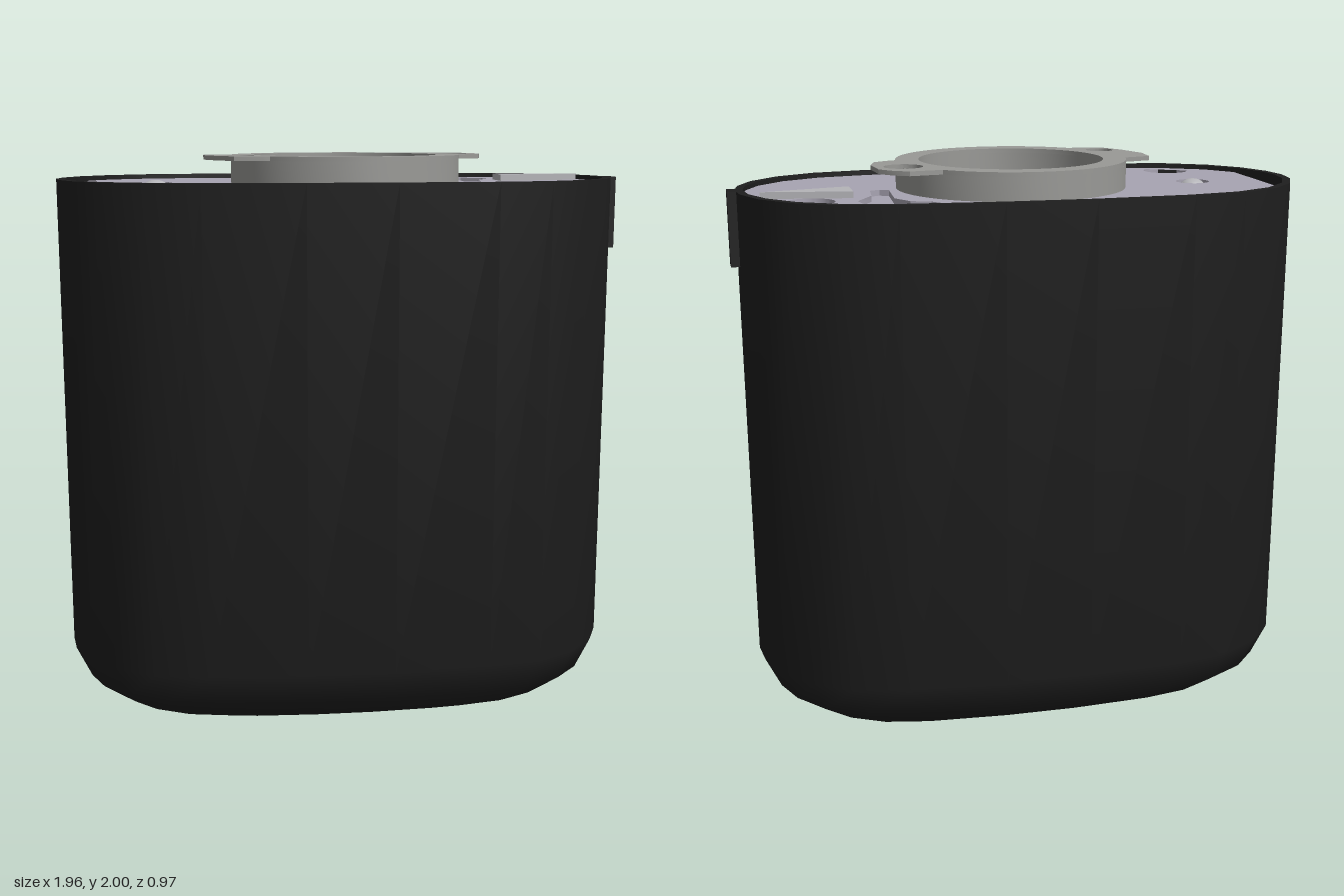
import * as THREE from 'three';
import { toCreasedNormals } from 'three/addons/utils/BufferGeometryUtils.js';

const mat = (color) => new THREE.MeshStandardMaterial({ color });
const black = mat(0x1e1e1e), lilac = mat(0xa8a4b2), grey = mat(0x999996), gold = mat(0x86660c), steel = mat(0xb4b4b8);

const CX = -0.013; // centre line of the oval housing
const FLOOR = 1.905; // level of the cover plate

// half of the oval (z >= 0) relative to CX, mirrored into a closed outline seen from above
const half = [[0.97, 0], [0.955, 0.11], [0.905, 0.23], [0.81, 0.34], [0.67, 0.42], [0.485, 0.46], [0.15, 0.483]];
const quarter = half.map(([x, z]) => [x, -z]);
const back = [...quarter, ...quarter.slice().reverse().map(([x, z]) => [-x, z])];
const outline = [...back, ...back.slice(1, -1).reverse().map(([x, z]) => [x, -z])];

function loft(rows) {
  const pos = [], index = [], n = outline.length;
  rows.forEach(([y, sx, sz], r) => outline.forEach(([x, z], i) => {
    pos.push(CX + x * sx, y, z * sz);
    if (r === rows.length - 1) return;
    const a = r * n + i, b = r * n + (i + 1) % n;
    index.push(a, b, b + n, a, b + n, a + n);
  }));
  const g = new THREE.BufferGeometry();
  g.setAttribute('position', new THREE.Float32BufferAttribute(pos, 3));
  g.setIndex(index);
  return toCreasedNormals(g, 0.7);
}

// shape in plan; input points are [x, z]
const plan = (pts) => new THREE.Shape(pts.map(([x, z]) => new THREE.Vector2(x, -z)));
const disc = (x, z, r) => new THREE.Path().absarc(x, -z, r, 0, Math.PI * 2, true);

function slab(shape, y0, y1) {
  const g = new THREE.ExtrudeGeometry(shape, { depth: y1 - y0, bevelEnabled: false, curveSegments: 32 });
  g.rotateX(-Math.PI / 2).translate(0, y0, 0);
  return toCreasedNormals(g, 0.5);
}

export function createModel() {
  const model = new THREE.Group();
  const add = (name, geometry, material, x = 0, y = 0, z = 0) => {
    const m = new THREE.Mesh(geometry, material);
    m.name = name;
    m.position.set(x, y, z);
    model.add(m);
    return m;
  };

  // rounded housing with a thin rim and an open top
  add('housing', loft([
    [0, 0, 0], [0.002, 0.33, 0.33], [0.018, 0.65, 0.5], [0.07, 0.83, 0.74], [0.15, 0.945, 0.93],
    [0.26, 1, 1], [1.92, 1, 1], [1.92, 0.972, 0.945], [1.8, 0.972, 0.945], [1.8, 0, 0],
  ]), black);
  add('sideTab', new THREE.BoxGeometry(0.05, 0.25, 0.08), black, 0.957, 1.795, 0);

  // cover plate: flat left end leaves a slot beside the rim
  const plateEdge = outline.map(([x, z]) => [Math.max(CX + x * 0.973, -0.885), z * 0.946]);
  add('plateBase', slab(plan(plateEdge), 1.8, FLOOR - 0.02), lilac);
  const top = plan(plateEdge);
  const hook = [[0.28, -0.39], [0.345, -0.30], [0.41, -0.275], [0.45, -0.2], [0.44, 0], [0.47, 0.02],
    [0.505, 0], [0.515, -0.12], [0.575, -0.24], [0.565, -0.30], [0.50, -0.36]];
  top.holes.push(disc(0.725, -0.22, 0.08), disc(-0.65, 0.32, 0.08), disc(-0.645, 0, 0.058), plan(hook));
  add('coverPlate', slab(top, FLOOR - 0.02, FLOOR), lilac);
  add('arrowMark', slab(plan([[0.58, -0.165], [0.58, -0.035], [0.88, -0.12]]), FLOOR, 1.927), steel);

  // locking ring with two lugs along its top edge
  const [rx, rz, ro, ri] = [0.013, 0.016, 0.397, 0.318];
  const wall = new THREE.Shape().absarc(rx, -rz, ro, 0, Math.PI * 2);
  wall.holes.push(disc(rx, rz, ri));
  add('ringWall', slab(wall, FLOOR - 0.01, 1.985), grey);
  const flange = new THREE.Shape().absarc(rx, -rz, ro, 0.766, 2.977);
  [[-0.475, 0.02], [-0.48, -0.08], [-0.44, -0.2], [-0.385, -0.29], [-0.29, -0.30]].forEach((p) => flange.lineTo(...p));
  flange.absarc(rx, -rz, ro, 3.929, Math.PI * 2 - 0.08);
  [[0.45, -0.03], [0.49, 0], [0.51, 0.08], [0.5, 0.2], [0.46, 0.25], [0.41, 0.28], [0.36, 0.27]].forEach((p) => flange.lineTo(...p));
  flange.holes.push(disc(rx, rz, ri), disc(0.41, -0.14, 0.065), disc(-0.36, 0.21, 0.048));
  add('ringFlange', slab(flange, 1.985, 2), grey);

  // central socket
  const socket = new THREE.Shape().absarc(rx, -rz, 0.095, 0, Math.PI * 2);
  socket.holes.push(disc(rx, rz, 0.06));
  add('contactSocket', slab(socket, FLOOR - 0.01, 1.935), grey);

  // domed contacts and a small locating ball
  const dome = (name, x, z, r, h, y, material) => {
    add(name, new THREE.SphereGeometry(r, 28, 10, 0, Math.PI * 2, 0, Math.PI / 2), material, x, y, z).scale.y = h / r;
  };
  dome('sideContact', 0.065, -0.185, 0.063, 0.035, FLOOR, gold);
  dome('sideContact', 0.065, 0.22, 0.063, 0.035, FLOOR, gold);
  dome('centreContact', rx, rz, 0.047, 0.04, FLOOR, gold);
  dome('locatingBall', -0.645, 0, 0.046, 0.03, FLOOR - 0.02, steel);
  return model;
}
